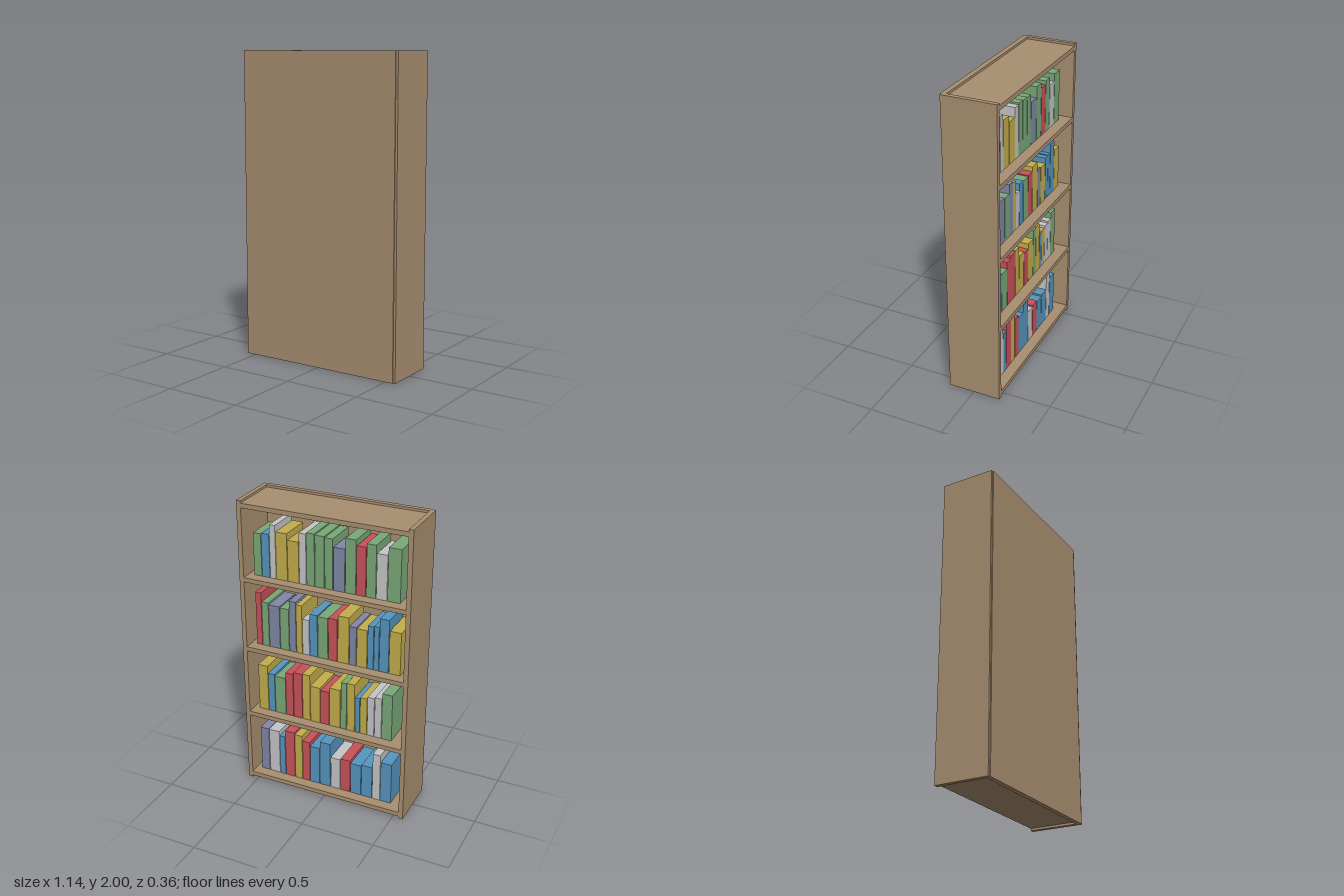
import * as THREE from 'three';

const material = (name, color) => {
  const m = new THREE.MeshStandardMaterial({ color });
  m.name = name;
  return m;
};

// Book rows from top to bottom, each running from +x to -x:
// cover colours, widths and heights (in thousandths)
const ROWS = [
  {
    covers: 'gbwyywgggsgrgwg',
    widths: [57, 57, 43, 79, 79, 50, 57, 65, 57, 79, 72, 65, 65, 72, 86],
    heights: [280, 285, 350, 310, 270, 330, 340, 335, 330, 280, 350, 315, 340, 290, 340],
  },
  {
    covers: 'rgsgsywbgrysybbby',
    widths: [43, 50, 79, 65, 50, 43, 50, 57, 72, 65, 79, 50, 72, 43, 36, 65, 79],
    heights: [365, 305, 295, 290, 350, 335, 245, 290, 285, 290, 320, 265, 260, 295, 300, 360, 290],
  },
  {
    covers: 'ybgrryyrygybywwg',
    widths: [72, 50, 79, 57, 65, 57, 72, 65, 79, 43, 57, 36, 50, 50, 50, 72],
    heights: [330, 280, 270, 315, 330, 335, 260, 245, 280, 340, 345, 255, 265, 280, 290, 330],
  },
  {
    covers: 'swbryrbbwrbbwb',
    widths: [65, 79, 43, 72, 57, 57, 72, 79, 72, 72, 79, 79, 57, 79],
    heights: [330, 330, 300, 350, 340, 305, 280, 335, 235, 245, 230, 240, 350, 300],
  },
];

export function createModel() {
  const model = new THREE.Group();
  model.name = 'bookcase';

  const wood = material('wood', 0xa98f70);
  const covers = {
    g: material('green cover', 0x7aa878),
    b: material('blue cover', 0x5595be),
    w: material('pale grey cover', 0xc6c6c8),
    y: material('yellow cover', 0xc4ae4c),
    s: material('slate cover', 0x8087a6),
    r: material('red cover', 0xc8525a),
  };

  // Box given by its lower and upper corners
  const box = (parent, name, mat, [x0, y0, z0], [x1, y1, z1]) => {
    const mesh = new THREE.Mesh(new THREE.BoxGeometry(x1 - x0, y1 - y0, z1 - z0), mat);
    mesh.position.set((x0 + x1) / 2, (y0 + y1) / 2, (z0 + z1) / 2);
    mesh.name = name;
    parent.add(mesh);
  };

  // Case: two sides and the closing panel
  box(model, 'leftSide', wood, [0.54, 0, -0.18], [0.57, 2, 0.172]);
  box(model, 'rightSide', wood, [-0.57, 0, -0.18], [-0.54, 2, 0.172]);
  box(model, 'backPanel', wood, [-0.555, 0, 0.145], [0.555, 2, 0.178]);

  // Five boards, the outer two slightly recessed between the sides
  const shelfY = (i) => 0.015 + i * 0.485;
  for (let i = 0; i < 5; i++) {
    box(model, i === 0 ? 'bottomBoard' : i === 4 ? 'topBoard' : 'shelf', wood,
      [-0.54, shelfY(i), -0.18], [0.54, shelfY(i) + 0.03, 0.145]);
  }

  // Books standing side by side, spines towards the open side
  ROWS.forEach((row, r) => {
    const group = new THREE.Group();
    group.name = 'bookRow';
    const base = shelfY(3 - r) + 0.03;
    let x = 0.503;
    row.widths.forEach((w, i) => {
      const width = w / 1000;
      box(group, 'book', covers[row.covers[i]],
        [x - width + 0.004, base, -0.11], [x, base + row.heights[i] / 1000, 0.11]);
      x -= width;
    });
    model.add(group);
  });

  return model;
}
